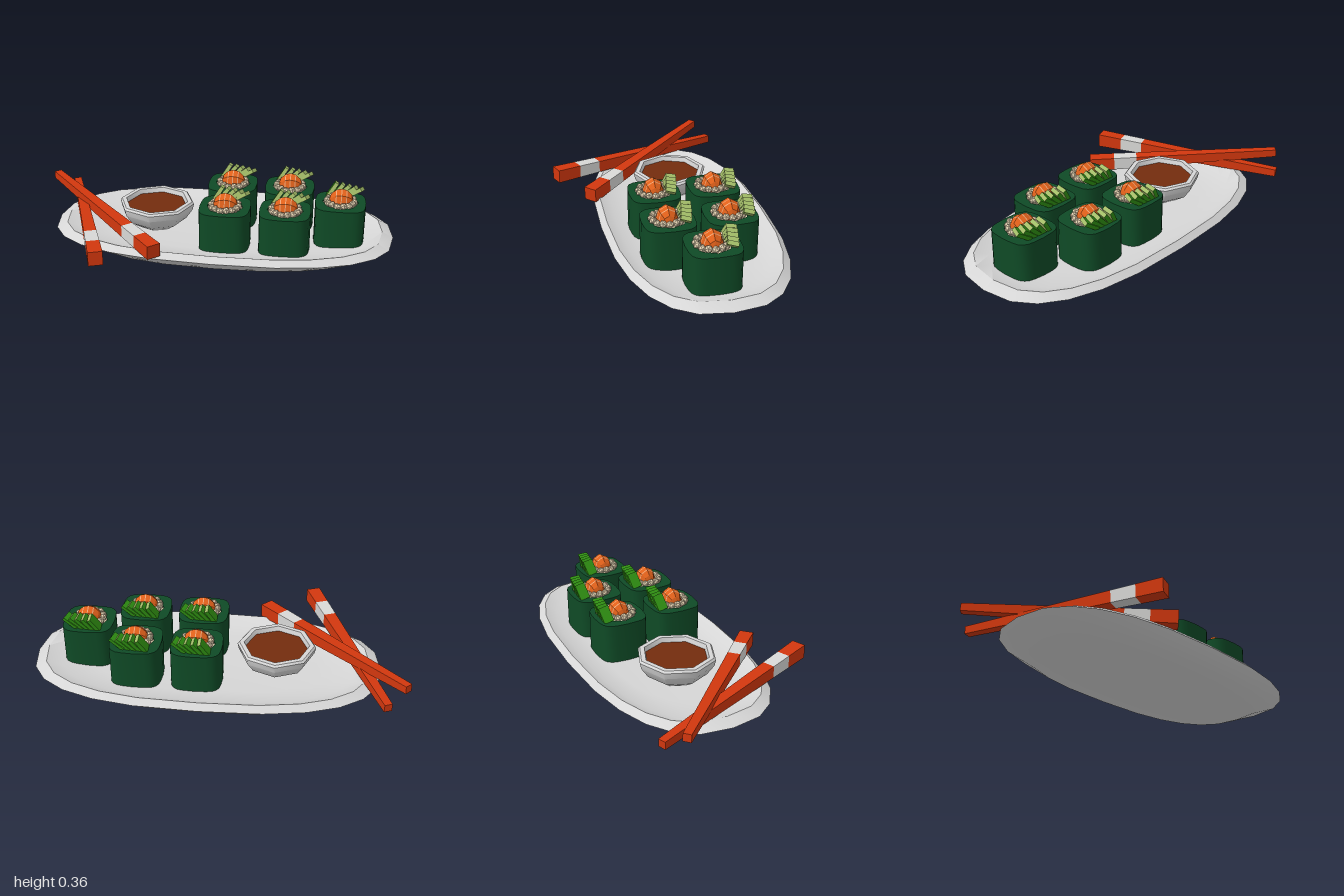
import * as THREE from 'three';
import { toCreasedNormals } from 'three/addons/utils/BufferGeometryUtils.js';

const mat = (name, color, extra = {}) => {
  const m = new THREE.MeshStandardMaterial({ color, ...extra });
  m.name = name;
  return m;
};
const flat = { flatShading: true };
const ceramic = mat('ceramic', 0xd6d6d6);
const nori = mat('nori', 0x0f4a26);
const riceMat = mat('rice', 0xdfceae, flat);
const salmon = mat('salmon', 0xdf601a, flat);
const salmonFat = mat('salmon fat', 0xf0a878, flat);
const skinGreen = mat('green skin', 0x2f8f12, flat);
const fleshGreen = mat('pale green flesh', 0xa3bd68, flat);
const sauceMat = mat('sauce', 0x742c0e);
const lacquer = mat('red lacquer', 0xd2370e, flat);
const bandMat = mat('pale band', 0xd8d8d6, flat);

function add(parent, name, geometry, material, x = 0, y = 0, z = 0) {
  const mesh = new THREE.Mesh(geometry, material);
  mesh.name = name;
  mesh.position.set(x, y, z);
  parent.add(mesh);
  return mesh;
}

// Superelliptic rings running from the underside, over the rim, to the floor
function plateGeometry() {
  const n = 24, e = 2 / 2.6;
  const rings = [ // half width, half depth, height
    [0.001, 0.001, 0], [0.5, 0.25, 0], [0.76, 0.375, 0.004], [0.935, 0.46, 0.075],
    [0.875, 0.428, 0.105], [0.79, 0.37, 0.075], [0.6, 0.27, 0.062], [0.001, 0.001, 0.058],
  ];
  const pos = [], index = [];
  const power = v => Math.sign(v) * Math.abs(v) ** e;
  rings.forEach(([a, b, y], i) => {
    for (let j = 0; j < n; j++) {
      const t = (j / n) * Math.PI * 2;
      pos.push(a * power(Math.cos(t)), y, -b * power(Math.sin(t)));
      if (i === rings.length - 1) continue;
      const p = i * n + j, q = i * n + (j + 1) % n;
      index.push(p, q, p + n, q, q + n, p + n);
    }
  });
  const g = new THREE.BufferGeometry();
  g.setAttribute('position', new THREE.Float32BufferAttribute(pos, 3));
  g.setIndex(index);
  return toCreasedNormals(g, 0.8);
}

// Rounded-square seaweed wrapper with a hole for the filling
function wrapperGeometry(height) {
  const h = 0.136, c = 0.06, k = 0.128;
  const s = new THREE.Shape();
  s.moveTo(h, 0);
  for (const [x, y] of [[1, 0], [0, 1], [-1, 0], [0, -1]]) {
    // each quarter: straight, rounded corner, straight
    const at = (u, v) => [x * u - y * v, y * u + x * v];
    s.lineTo(...at(k + 0.004, c));
    s.quadraticCurveTo(...at(k, k), ...at(c, k + 0.004));
    s.lineTo(...at(0, h));
  }
  const hole = new THREE.Path();
  hole.absarc(0, 0, 0.096, 0, Math.PI * 2, true);
  s.holes.push(hole);
  const g = new THREE.ExtrudeGeometry(s, { depth: height, bevelEnabled: false, curveSegments: 4 });
  g.rotateX(-Math.PI / 2);
  return toCreasedNormals(g, 0.7);
}

const FLOOR = 0.06, TOP = 0.278;
const wrapper = wrapperGeometry(TOP - FLOOR);
const core = new THREE.CylinderGeometry(0.1, 0.1, TOP - FLOOR - 0.01, 12);
const grain = new THREE.IcosahedronGeometry(0.021, 0);
const slice = new THREE.BoxGeometry(0.022, 0.088, 0.055);
const sliceMats = [fleshGreen, skinGreen, fleshGreen, fleshGreen, fleshGreen, skinGreen];

// Salmon mound cut into bands along x, with narrow pale stripes
const cuts = [-0.07, -0.055, -0.03, -0.025, -0.0025, 0.0025, 0.025, 0.03, 0.055, 0.07];
const salmonBands = cuts.slice(1).map((end, i) => {
  const points = [cuts[i], end].map(x =>
    new THREE.Vector2(Math.sqrt(Math.max(0, 1 - (x / 0.07) ** 2)), x));
  const g = new THREE.LatheGeometry(points, 8);
  g.rotateZ(-Math.PI / 2);
  g.scale(1, 0.08, 0.058);
  return { g, pale: end - cuts[i] < 0.01 };
});

function makeRoll(x, z) {
  const roll = new THREE.Group();
  roll.name = 'sushiRoll';
  roll.position.set(x, 0, z);
  add(roll, 'seaweedWrapper', wrapper, nori, 0, FLOOR, 0);
  add(roll, 'riceCore', core, riceMat, 0, (FLOOR + TOP) / 2 - 0.003, 0);
  for (let i = 0; i < 14; i++) {
    const t = (i / 14) * Math.PI * 2;
    const m = add(roll, 'riceGrain', grain, riceMat,
      0.072 * Math.cos(t), 0.284 + 0.004 * (i % 2), 0.006 + 0.076 * Math.sin(t));
    m.rotation.set(i, i * 2, 0);
  }
  for (const { g, pale } of salmonBands)
    add(roll, pale ? 'salmonStripe' : 'salmonPiece', g, pale ? salmonFat : salmon, 0.003, 0.277, 0.005);
  // fan of slices leaning toward +x
  for (let i = 0; i < 5; i++) {
    const m = add(roll, 'greenSlice', slice, sliceMats,
      -0.048 + 0.031 * i, 0.312 - 0.001 * i, -0.09 + 0.004 * i);
    m.rotation.set(-0.2, -0.08 * i, -0.55 - 0.12 * i);
  }
  return roll;
}

// Square tapered stick from its thin tip to its thick end, with a pale band
function makeChopstick(tip, end) {
  const stick = new THREE.Group();
  stick.name = 'chopstick';
  const length = tip.distanceTo(end);
  const radius = t => (0.021 + 0.017 * t) * Math.SQRT2;
  for (const [a, b, name, m] of [[0, 0.75, 'stickShaft', lacquer],
    [0.75, 0.87, 'stickBand', bandMat], [0.87, 1, 'stickEnd', lacquer]]) {
    const g = new THREE.CylinderGeometry(radius(b), radius(a), (b - a) * length, 4);
    g.rotateY(Math.PI / 4);
    g.rotateX(Math.PI / 2);
    add(stick, name, g, m, 0, 0, (a + b) / 2 * length);
  }
  stick.position.copy(tip);
  stick.lookAt(end);
  return stick;
}

export function createModel() {
  const model = new THREE.Group();
  model.name = 'sushiPlatter';
  add(model, 'plate', plateGeometry(), ceramic, 0.065, 0, -0.095);

  // Octagonal sauce bowl
  const bowl = new THREE.Group();
  bowl.name = 'sauceBowl';
  bowl.position.set(-0.31, 0, -0.1);
  const profile = [[0, 0.06], [0.1, 0.06], [0.165, 0.105], [0.202, 0.16], [0.21, 0.195],
    [0.2, 0.206], [0.175, 0.206], [0.16, 0.15], [0, 0.13]];
  const shell = new THREE.LatheGeometry(profile.map(p => new THREE.Vector2(...p)), 8);
  add(bowl, 'bowlShell', toCreasedNormals(shell, 0.8), ceramic);
  add(bowl, 'sauce', new THREE.CylinderGeometry(0.168, 0.162, 0.02, 8), sauceMat, 0, 0.17, 0);
  model.add(bowl);

  for (const [x, z] of [[0.1, -0.24], [0.42, -0.24], [0.1, 0.082], [0.42, 0.082], [0.705, -0.07]])
    model.add(makeRoll(x, z));

  model.add(makeChopstick(new THREE.Vector3(-0.985, 0.19, -0.41), new THREE.Vector3(-0.228, 0.131, 0.377)));
  model.add(makeChopstick(new THREE.Vector3(-0.887, 0.12, -0.485), new THREE.Vector3(-0.492, 0.15, 0.535)));
  return model;
}
